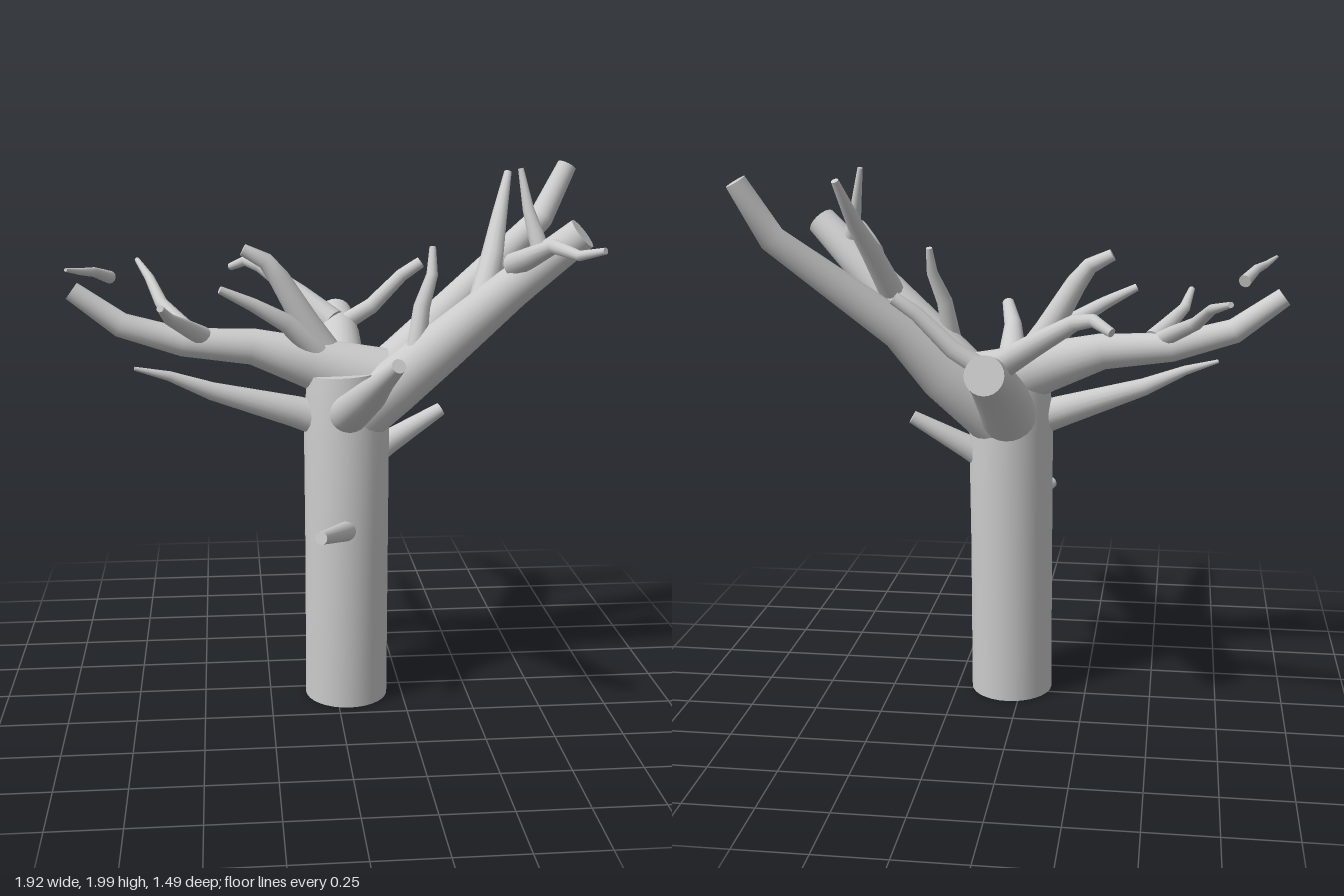
import * as THREE from 'three';

const material = new THREE.MeshStandardMaterial({ color: 0xcccccc });

// Tapered limb with flat ends, swept through stations [x, y, z, radius]
function limb(name, sides, stations) {
  const pts = stations.map(([x, y, z]) => new THREE.Vector3(x, y, z));
  const n = pts.length;
  const dirs = pts.slice(1).map((p, i) => p.clone().sub(pts[i]).normalize());
  const tangents = pts.map((_, i) =>
    dirs[Math.max(i - 1, 0)].clone().add(dirs[Math.min(i, n - 2)]).normalize());

  // Carry one side vector along the path so the rings do not twist
  const t0 = tangents[0];
  const side = Math.abs(t0.y) > 0.9 ? new THREE.Vector3(1, 0, 0) : new THREE.Vector3(0, 1, 0);
  const pos = [], idx = [];
  const rings = pts.map((p, i) => {
    const t = tangents[i];
    side.addScaledVector(t, -side.dot(t)).normalize();
    const up = new THREE.Vector3().crossVectors(t, side);
    return Array.from({ length: sides }, (_, k) => {
      const a = (k / sides) * Math.PI * 2;
      return p.clone()
        .addScaledVector(side, Math.cos(a) * stations[i][3])
        .addScaledVector(up, Math.sin(a) * stations[i][3]);
    });
  });
  rings.forEach((ring) => ring.forEach((v) => pos.push(v.x, v.y, v.z)));
  for (let i = 0; i < n - 1; i++) {
    for (let k = 0; k < sides; k++) {
      const a = i * sides + k, b = i * sides + (k + 1) % sides;
      idx.push(a, b, b + sides, a, b + sides, a + sides);
    }
  }

  // End caps have their own vertices so the rims stay sharp
  [0, n - 1].forEach((i) => {
    const base = pos.length / 3;
    pos.push(...pts[i].toArray());
    rings[i].forEach((v) => pos.push(v.x, v.y, v.z));
    for (let k = 0; k < sides; k++) {
      const a = base + 1 + k, b = base + 1 + (k + 1) % sides;
      if (i === 0) idx.push(base, b, a);
      else idx.push(base, a, b);
    }
  });

  const geometry = new THREE.BufferGeometry();
  geometry.setAttribute('position', new THREE.Float32BufferAttribute(pos, 3));
  geometry.setIndex(idx);
  geometry.computeVertexNormals();
  const mesh = new THREE.Mesh(geometry, material);
  mesh.name = name;
  return mesh;
}

// Main boughs growing out of the crown
const boughs = {
  rightBough: [[0.15, 1.2, 0, 0.135], [-0.1, 1.285, 0.01, 0.092], [-0.3, 1.345, 0.01, 0.066],
    [-0.55, 1.365, 0.01, 0.052], [-0.77, 1.43, 0.005, 0.045], [-0.94, 1.555, 0.005, 0.035]],
  leftBackBough: [[0.08, 1.1, -0.01, 0.12], [0.27, 1.27, -0.1, 0.095], [0.42, 1.43, -0.13, 0.07],
    [0.82, 1.77, -0.31, 0.048], [0.925, 1.965, -0.355, 0.037]],
  leftFrontBough: [[0.08, 1.09, 0.08, 0.1], [0.2, 1.2, 0.1, 0.1], [0.38, 1.37, 0.155, 0.09],
    [0.6, 1.58, 0.23, 0.072], [0.815, 1.775, 0.325, 0.058]],
  backBough: [[0.04, 1.08, 0, 0.11], [0.04, 1.2, -0.2, 0.097], [0.05, 1.31, -0.4, 0.08],
    [0.05, 1.365, -0.58, 0.067]],
  frontBough: [[0.03, 1.1, 0.1, 0.075], [0.045, 1.14, 0.2, 0.068], [0.085, 1.25, 0.43, 0.055],
    [0.105, 1.335, 0.615, 0.036], [0.14, 1.41, 0.73, 0.024]],
};

// Smaller limbs and stubs on the trunk
const trunkLimbs = {
  rightLowLimb: [[0, 1.06, 0.04, 0.07], [-0.15, 1.11, 0.05, 0.058], [-0.45, 1.2, 0.09, 0.033],
    [-0.6, 1.262, 0.11, 0.018], [-0.72, 1.295, 0.13, 0.007]],
  leftStub: [[0.1, 0.91, 0.02, 0.055], [0.2, 0.975, 0, 0.045], [0.4, 1.09, -0.03, 0.025]],
  frontStub: [[0.04, 0.67, 0.1, 0.04], [0.02, 0.7, 0.22, 0.036], [-0.08, 0.735, 0.39, 0.023]],
  crownLimb: [[0, 1.27, 0, 0.06], [-0.1, 1.42, 0.005, 0.05], [-0.2, 1.59, 0.01, 0.038],
    [-0.25, 1.655, 0.01, 0.03], [-0.33, 1.695, 0.01, 0.022]],
  crownTwig: [[-0.05, 1.31, 0.04, 0.042], [-0.18, 1.44, 0.07, 0.034], [-0.3, 1.51, 0.09, 0.024],
    [-0.415, 1.567, 0.11, 0.014]],
};

// Twigs carried by the boughs
const twigs = {
  backBoughLeftTwig: [[0.05, 1.34, -0.42, 0.036], [0.18, 1.42, -0.42, 0.032],
    [0.3, 1.54, -0.425, 0.026], [0.375, 1.59, -0.425, 0.023]],
  backBoughRightTwig: [[0.03, 1.36, -0.42, 0.05], [-0.1, 1.455, -0.53, 0.04],
    [-0.25, 1.555, -0.64, 0.027], [-0.31, 1.57, -0.69, 0.021], [-0.37, 1.54, -0.735, 0.015]],
  rightBoughFrontTwig: [[-0.48, 1.39, 0.03, 0.036], [-0.53, 1.43, 0.1, 0.03],
    [-0.59, 1.48, 0.2, 0.021], [-0.615, 1.535, 0.315, 0.012]],
  rightBoughBackTwig: [[-0.5, 1.38, 0.03, 0.036], [-0.55, 1.42, -0.03, 0.03],
    [-0.63, 1.48, -0.16, 0.024], [-0.68, 1.555, -0.32, 0.018], [-0.735, 1.6, -0.51, 0.01]],
  rightBoughTipTwig: [[-0.8, 1.605, 0.03, 0.023], [-0.845, 1.637, 0.13, 0.017],
    [-0.885, 1.648, 0.2, 0.012], [-0.925, 1.665, 0.285, 0.006]],
  leftFrontBoughTallTwig: [[0.5, 1.5, 0.18, 0.05], [0.56, 1.68, 0.07, 0.04],
    [0.6, 1.8, -0.03, 0.029], [0.645, 1.955, -0.115, 0.014]],
  leftFrontBoughUpperTwig: [[0.7, 1.67, 0.27, 0.035], [0.67, 1.77, 0.25, 0.028],
    [0.65, 1.85, 0.215, 0.02], [0.625, 1.985, 0.19, 0.01]],
  leftFrontBoughFrontTwig: [[0.6, 1.66, 0.25, 0.045], [0.64, 1.7, 0.34, 0.036],
    [0.69, 1.745, 0.44, 0.025], [0.74, 1.73, 0.58, 0.017], [0.8, 1.755, 0.665, 0.011]],
  leftFrontBoughInnerTwig: [[0.28, 1.36, 0.15, 0.036], [0.3, 1.5, 0.12, 0.03],
    [0.34, 1.61, 0.09, 0.021], [0.345, 1.705, 0.06, 0.012]],
};

export function createModel() {
  const tree = new THREE.Group();
  tree.name = 'bareTree';

  // Straight trunk, leaning slightly back below the crown
  tree.add(limb('trunk', 32, [[0.04, 0, 0.05, 0.155], [0.04, 0.6, 0.05, 0.155],
    [0.04, 1.05, 0.035, 0.157], [0.03, 1.25, 0.03, 0.135]]));

  const sets = [['boughs', boughs, 24], ['trunkLimbs', trunkLimbs, 16], ['twigs', twigs, 12]];
  for (const [name, set, sides] of sets) {
    const group = new THREE.Group();
    group.name = name;
    for (const [part, stations] of Object.entries(set)) group.add(limb(part, sides, stations));
    tree.add(group);
  }
  return tree;
}
